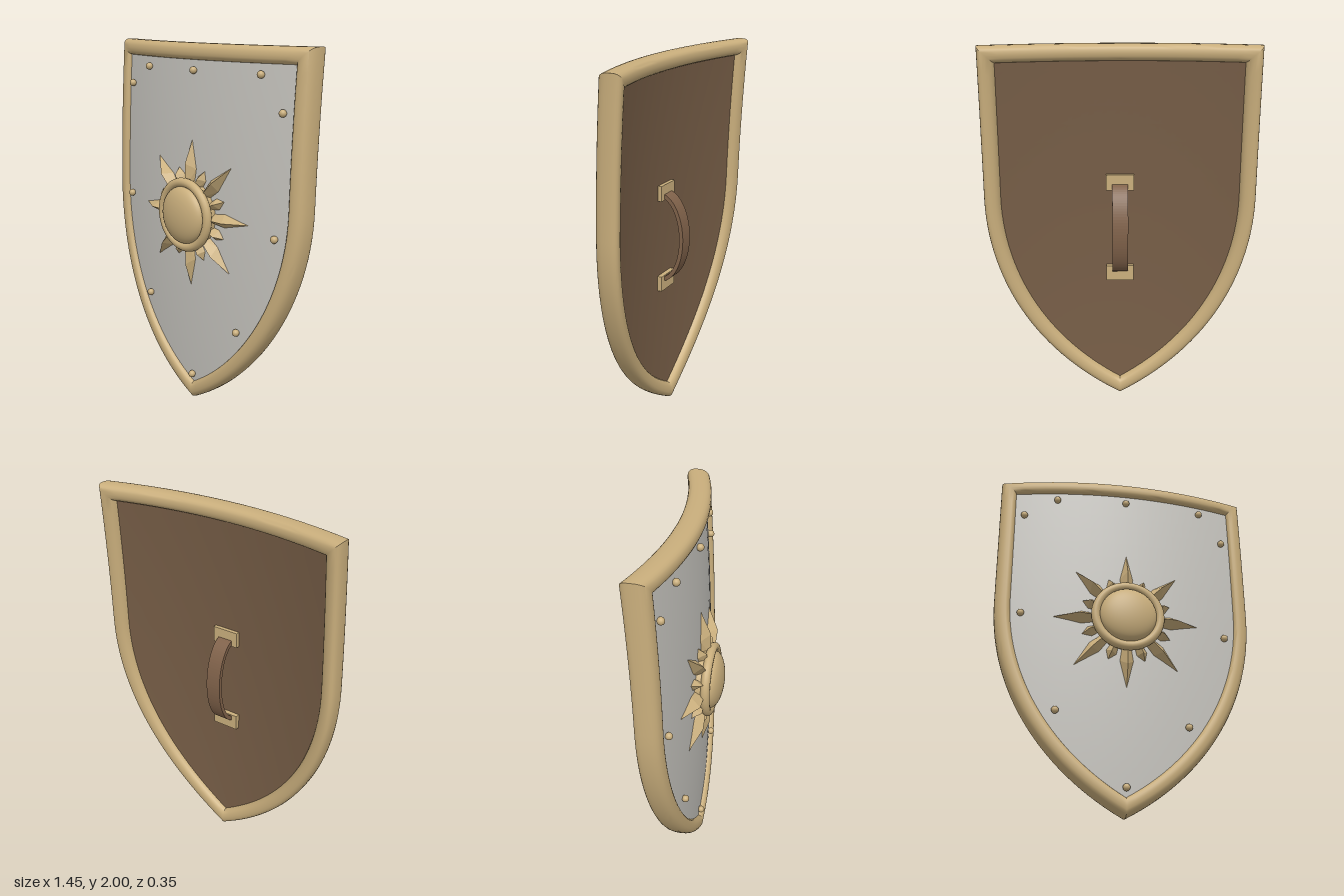
import * as THREE from 'three';
import { toCreasedNormals } from 'three/addons/utils/BufferGeometryUtils.js';

const W = 0.725, TOP = 2, SHOULDER = 1.2;
const R = (W * W + SHOULDER * SHOULDER) / (2 * W); // lower arc radius
const CX = W - R;
const SUN_Y = 1.09;

// Doubly curved shield surface
const surf = (x, y) => 0.035 - 0.2 * x * x - 0.035 * (y - 0.9) ** 2;
const FRONT = 0.033, BACK = -0.03;

// Right half of the outline from the tip up to the corner, inset by d
function rightSide(d) {
  const pts = [], r = R - d, tip = -Math.acos(-CX / r);
  for (let i = 0; i <= 28; i++) {
    const a = tip * (1 - i / 28);
    pts.push([CX + r * Math.cos(a), SHOULDER + r * Math.sin(a)]);
  }
  for (let i = 1; i <= 8; i++) pts.push([W - d, SHOULDER + (TOP - d - SHOULDER) * i / 8]);
  return pts;
}

// Whole outline, counter-clockwise, starting and ending at the tip
function outline(d) {
  const right = rightSide(d), top = [];
  for (let i = 1; i < 20; i++) top.push([(W - d) * (1 - i / 10), TOP - d]);
  const left = right.map(([x, y]) => [-x, y]).reverse();
  return [...right, ...top, ...left.slice(0, -1)];
}

function indexed(pos, idx) {
  const g = new THREE.BufferGeometry();
  g.setAttribute('position', new THREE.Float32BufferAttribute(pos, 3));
  g.setIndex(idx);
  g.computeVertexNormals();
  return g;
}

// Mitred border swept round the outline with a rounded section
function rimGeometry() {
  const pos = [], idx = [], S = 24;
  const pow = (v) => Math.sign(v) * Math.abs(v) ** 0.75;
  let n = 0;
  for (let j = 0; j < S; j++) {
    const t = j / S * Math.PI * 2;
    const ring = outline(0.045 * (1 - pow(Math.cos(t))));
    n = ring.length;
    for (const [x, y] of ring) pos.push(x, y, surf(x, y) + 0.064 * pow(Math.sin(t)));
  }
  for (let j = 0; j < S; j++) for (let i = 0; i < n; i++) {
    const i2 = (i + 1) % n, j2 = (j + 1) % S;
    const a = j * n + i, b = j * n + i2, c = j2 * n + i, d = j2 * n + i2;
    idx.push(a, b, c, b, d, c);
  }
  return toCreasedNormals(indexed(pos, idx), 0.75);
}

// Curved sheet filling the outline; faces +z, or -z when flipped
function sheetGeometry(offset, flip) {
  const pos = [], idx = [], N = 20, rows = rightSide(0.04);
  for (const [hx, y] of rows) for (let k = 0; k <= N; k++) {
    const x = hx * (k / N * 2 - 1);
    pos.push(x, y, surf(x, y) + offset);
  }
  for (let r = 0; r < rows.length - 1; r++) for (let k = 0; k < N; k++) {
    const a = r * (N + 1) + k, b = a + 1, c = a + N + 1, d = c + 1;
    if (flip) idx.push(a, c, b, b, c, d);
    else idx.push(a, b, c, b, d, c);
  }
  return indexed(pos, idx);
}

// Faceted ray with a central ridge, resting on the shield face
function rayGeometry(angle, tip, wide, half, ridgeR, ridgeZ) {
  const pos = [];
  const add = (r, s, z) => {
    const x = r * Math.cos(angle) - s * Math.sin(angle);
    const y = SUN_Y + r * Math.sin(angle) + s * Math.cos(angle);
    pos.push(x, y, z ?? surf(x, y) + FRONT);
  };
  add(tip, 0);
  add(wide, half); add(wide, -half);
  add(ridgeR, 0, ridgeZ);
  add(0.15, half * 0.6); add(0.15, -half * 0.6);
  add(0.15, 0, ridgeZ);
  const g = indexed(pos, [0, 1, 3, 0, 3, 2, 1, 4, 6, 1, 6, 3, 2, 3, 6, 2, 6, 5]).toNonIndexed();
  g.computeVertexNormals();
  return g;
}

// Curved hand strap
function strapGeometry() {
  const s = new THREE.Shape();
  s.absellipse(0, 0, 0.14, 0.255, -Math.PI / 2, Math.PI / 2, false);
  s.lineTo(0, 0.23);
  s.absellipse(0, 0, 0.118, 0.23, Math.PI / 2, -Math.PI / 2, true);
  s.closePath();
  const g = new THREE.ExtrudeGeometry(s, { depth: 0.085, bevelEnabled: false, curveSegments: 24 });
  g.translate(0, 0, -0.0425);
  g.rotateY(Math.PI / 2);
  return g;
}

export function createModel() {
  const mat = (name, color) => {
    const m = new THREE.MeshStandardMaterial({ color });
    m.name = name;
    return m;
  };
  const gold = mat('gold', 0xc9ae7c);
  const silver = mat('silver', 0xc6c4be);
  const wood = mat('darkWood', 0x765d46);
  const leather = mat('leather', 0x80624a);

  const group = new THREE.Group();
  group.name = 'shield';
  const add = (parent, name, geo, material, x = 0, y = 0, z = 0) => {
    const m = new THREE.Mesh(geo, material);
    m.name = name;
    m.position.set(x, y, z);
    parent.add(m);
    return m;
  };

  // Body
  add(group, 'rim', rimGeometry(), gold);
  add(group, 'frontPlate', sheetGeometry(FRONT, false), silver);
  add(group, 'backBoard', sheetGeometry(BACK, true), wood);

  // Rivets
  const rivets = new THREE.Group();
  rivets.name = 'rivets';
  group.add(rivets);
  const rivetGeo = new THREE.SphereGeometry(0.02, 16, 12);
  for (const [x, y] of [[-0.4, 1.86], [0, 1.86], [0.45, 1.86], [-0.587, 1.755], [0.585, 1.68],
    [-0.58, 1.11], [0.568, 1.045], [-0.376, 0.545], [0.339, 0.49], [0, 0.148]]) {
    add(rivets, 'rivet', rivetGeo, gold, x, y, surf(x, y) + FRONT + 0.014);
  }

  // Sun emblem
  const sun = new THREE.Group();
  sun.name = 'sunEmblem';
  group.add(sun);
  for (let i = 0; i < 8; i++) {
    const a = i * Math.PI / 4;
    add(sun, 'longRay', rayGeometry(a, 0.405, 0.25, 0.037, 0.28, 0.11), gold);
    add(sun, 'shortRay', rayGeometry(a + Math.PI / 8, 0.265, 0.22, 0.03, 0.225, 0.105), gold);
  }
  const base = new THREE.CylinderGeometry(0.185, 0.185, 0.08, 48).rotateX(Math.PI / 2);
  add(sun, 'bossBase', base, gold, 0, SUN_Y, 0.085);
  add(sun, 'bossRing', new THREE.TorusGeometry(0.178, 0.025, 14, 56), gold, 0, SUN_Y, 0.113);
  const dome = new THREE.SphereGeometry(0.157, 40, 14, 0, Math.PI * 2, 0, Math.PI / 2).rotateX(Math.PI / 2);
  add(sun, 'bossDome', dome, gold, 0, SUN_Y, 0.122).scale.z = 0.4;

  // Handle on the back
  const handle = new THREE.Group();
  handle.name = 'handle';
  group.add(handle);
  add(handle, 'strap', strapGeometry(), leather, 0, 1, 0.005);
  for (const y of [0.74, 1.26]) {
    add(handle, 'strapMount', new THREE.BoxGeometry(0.15, 0.085, 0.035), gold, 0, y, -0.005);
  }
  return group;
}
